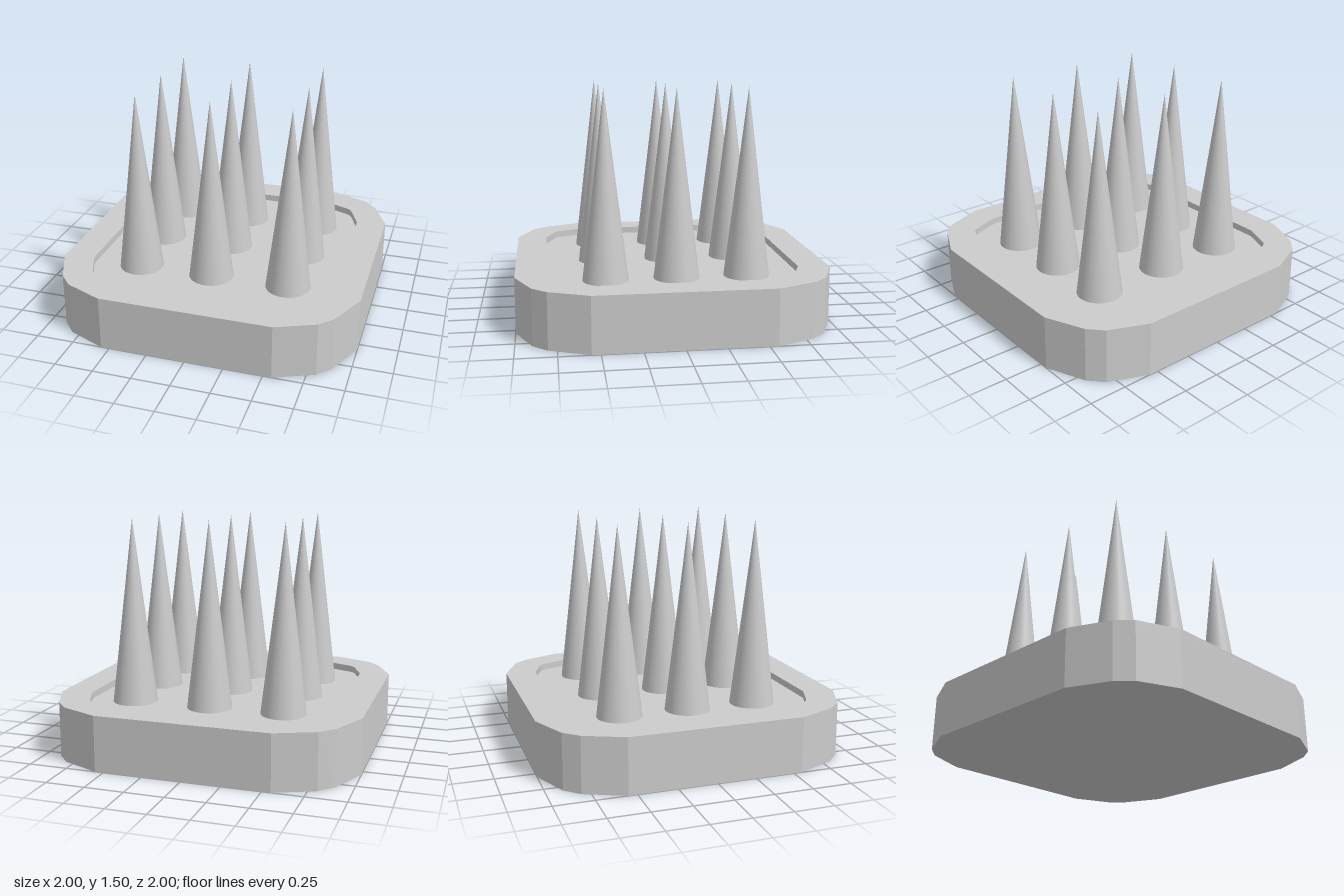
import * as THREE from 'three';

const TOP = 0.355, FLOOR = 0.31, TIP = 1.505, SPIKE_RADIUS = 0.145;

// Mirrors one corner's points (x, z >= 0) into a full closed outline
function outline(corner) {
  const back = [...corner].reverse();
  return [
    ...corner,
    ...back.map(([x, y]) => [-x, y]),
    ...corner.map(([x, y]) => [-x, -y]),
    ...back.map(([x, y]) => [x, -y]),
  ].map(([x, y]) => new THREE.Vector2(x, y));
}

// Upright prism from a shape, between two heights
function prism(shape, y0, y1) {
  const geometry = new THREE.ExtrudeGeometry(shape, { depth: y1 - y0, bevelEnabled: false });
  return geometry.rotateX(-Math.PI / 2).translate(0, y0, 0);
}

export function createModel() {
  const model = new THREE.Group();
  const material = new THREE.MeshStandardMaterial({ color: 0xcccccc });
  const add = (name, geometry, parent = model) => {
    const mesh = new THREE.Mesh(geometry, material);
    mesh.name = name;
    parent.add(mesh);
    return mesh;
  };

  const outer = outline([[1, 0.555], [0.89, 0.805], [0.805, 0.895], [0.555, 1]]);
  const inner = outline([
    [0.8, 0.517], [0.733, 0.685], [0.722, 0.705], [0.705, 0.722], [0.685, 0.733], [0.517, 0.8],
  ]);

  // Solid slab up to the recess floor, with a raised rim around the recess
  const base = new THREE.Group();
  base.name = 'base';
  model.add(base);
  const rim = new THREE.Shape(outer);
  rim.holes.push(new THREE.Path(inner));
  add('slab', prism(new THREE.Shape(outer), 0, FLOOR), base);
  add('rim', prism(rim, FLOOR, TOP), base);

  // Three by three spikes standing on the recess floor
  const spikes = new THREE.Group();
  spikes.name = 'spikes';
  model.add(spikes);
  const height = TIP - FLOOR;
  const cone = new THREE.ConeGeometry(SPIKE_RADIUS, height, 48);
  for (const x of [-0.488, 0, 0.515]) {
    for (const z of [-0.46, -0.01, 0.438]) {
      add('spike', cone, spikes).position.set(x, FLOOR + height / 2, z);
    }
  }
  return model;
}
